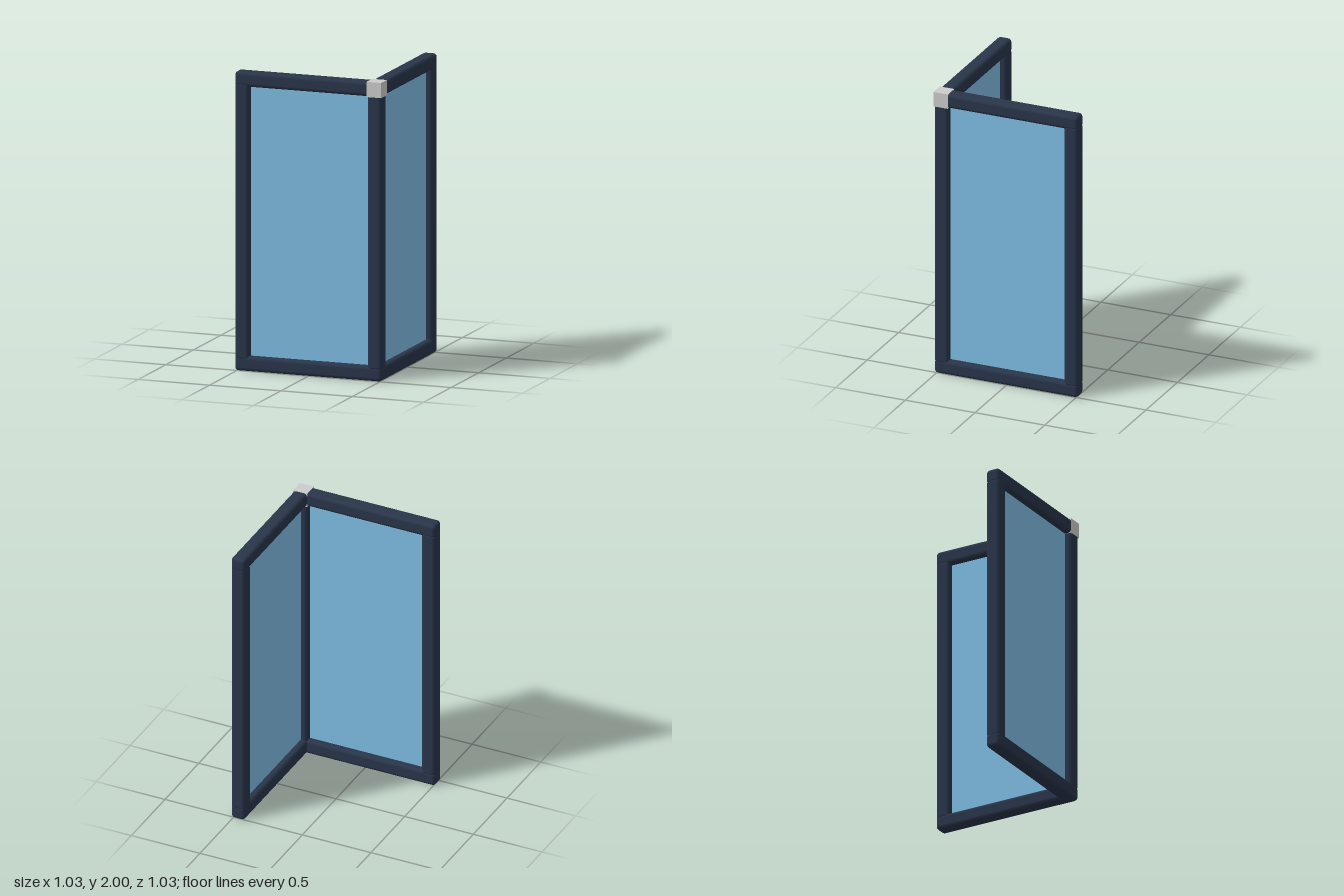
import * as THREE from 'three';
import { RoundedBoxGeometry } from 'three/addons/geometries/RoundedBoxGeometry.js';

const BAR = 0.1;        // frame bar thickness
const OUT = 0.515;      // outer half-extent of the corner window
const AXIS = OUT - BAR / 2;
const HEIGHT = 2;

function material(name, color) {
  const m = new THREE.MeshStandardMaterial({ color });
  m.name = name;
  return m;
}

export function createModel() {
  const frame = material('dark navy frame', 0x29354a);
  const glass = material('blue glass', 0x7fbde4);
  const grey = material('light grey corner', 0xcccccc);
  const model = new THREE.Group();
  model.name = 'cornerWindow';

  function add(parent, name, geometry, mat, x, y, z) {
    const mesh = new THREE.Mesh(geometry, mat);
    mesh.name = name;
    mesh.position.set(x, y, z);
    parent.add(mesh);
  }
  const bar = (w, h, d) => new RoundedBoxGeometry(w, h, d, 2, 0.025);

  // Upright posts, their ends tucked into the rails
  const postGeo = bar(BAR, HEIGHT - 2 * BAR + 0.06, BAR);
  add(model, 'leftEndPost', postGeo, frame, -AXIS, HEIGHT / 2, AXIS);
  add(model, 'cornerPost', postGeo, frame, AXIS, HEIGHT / 2, AXIS);
  add(model, 'backEndPost', postGeo, frame, AXIS, HEIGHT / 2, -AXIS);

  // Two identical sides meeting at the corner: one along x, one along z
  const paneW = 2 * AXIS - BAR + 0.04;
  const topLength = 2 * OUT - BAR + 0.03;
  for (const name of ['frontSide', 'returnSide']) {
    const side = new THREE.Group();
    side.name = name;
    add(side, 'bottomRail', bar(2 * OUT, BAR, BAR), frame, 0, BAR / 2, AXIS);
    add(side, 'topRail', bar(topLength, BAR, BAR), frame,
      -OUT + topLength / 2, HEIGHT - BAR / 2, AXIS);
    add(side, 'glassPane', new THREE.BoxGeometry(paneW, HEIGHT - 2 * BAR + 0.04, 0.01),
      glass, 0, HEIGHT / 2, AXIS);
    if (name === 'returnSide') {
      // Turn about y, then mirror the rail order so the short end stays at the corner
      side.rotation.y = Math.PI / 2;
      side.children[1].position.x *= -1;
    }
    model.add(side);
  }
  model.getObjectByName('returnSide').children[1].position.x =
    OUT - topLength / 2;

  // Plain cube capping the corner between the top rails
  add(model, 'cornerCube', new THREE.BoxGeometry(0.102, 0.102, 0.102), grey,
    AXIS, HEIGHT - 0.05, AXIS);

  return model;
}
